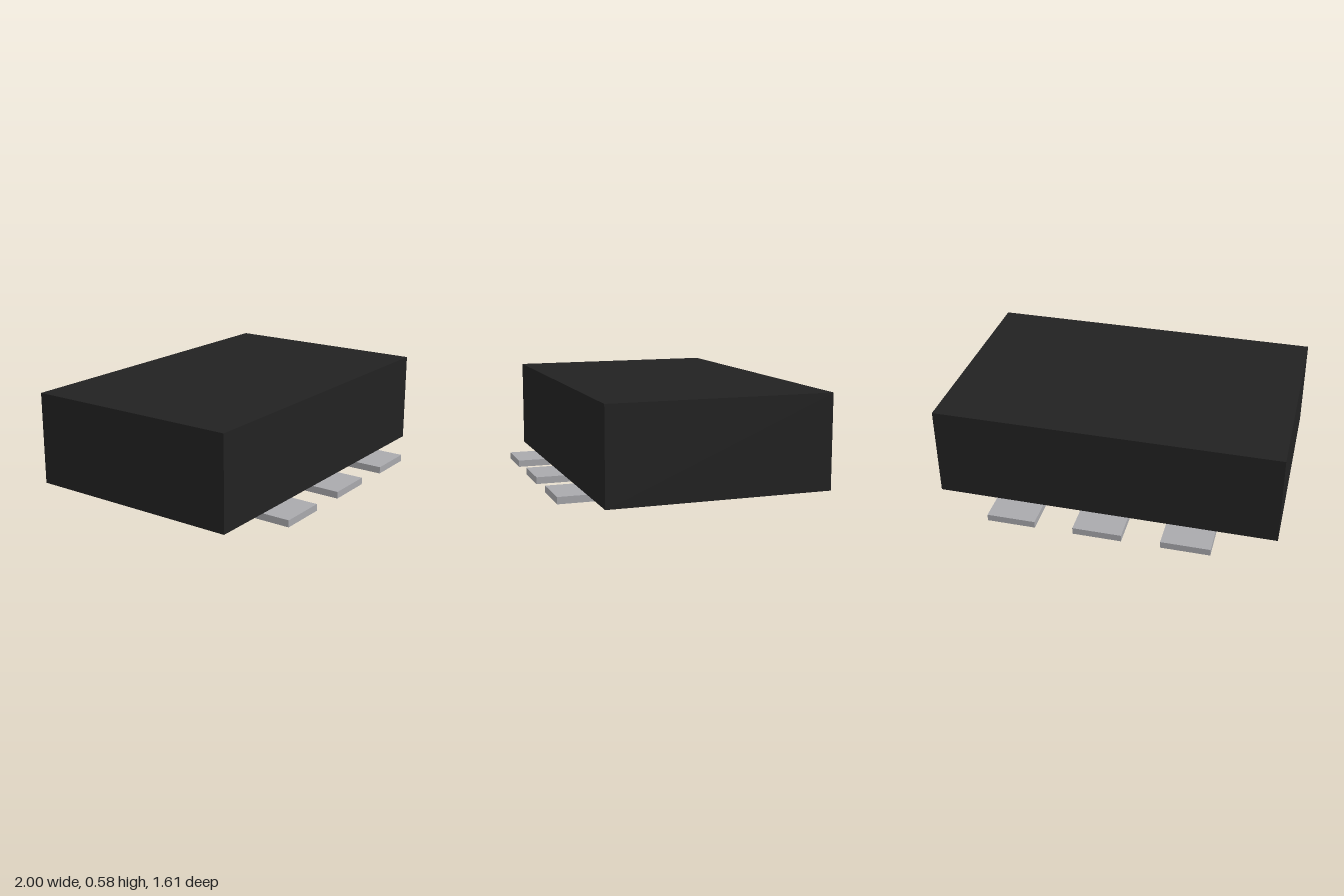
import * as THREE from 'three';

export function createModel() {
  const model = new THREE.Group();
  model.name = 'surfaceMountPackage';

  const blackPlastic = new THREE.MeshStandardMaterial({ color: 0x222222 });
  blackPlastic.name = 'black plastic';
  const tinnedMetal = new THREE.MeshStandardMaterial({ color: 0xa9a9ad });
  tinnedMetal.name = 'tinned metal';

  const padHeight = 0.04;
  const bodyHeight = 0.54;

  // Moulded block resting on the contact pads
  const body = new THREE.Mesh(new THREE.BoxGeometry(2, bodyHeight, 1.28), blackPlastic);
  body.name = 'body';
  body.position.y = padHeight + bodyHeight / 2;
  model.add(body);

  // Three flat contact pads along the front and three along the back
  const padGeometry = new THREE.BoxGeometry(0.284, padHeight, 0.564);
  for (const [side, z] of [['front', 0.522], ['back', -0.522]]) {
    for (let i = -1; i <= 1; i++) {
      const pad = new THREE.Mesh(padGeometry, tinnedMetal);
      pad.name = `${side}Pad${i + 2}`;
      pad.position.set(i * 0.508, padHeight / 2, z);
      model.add(pad);
    }
  }

  return model;
}
